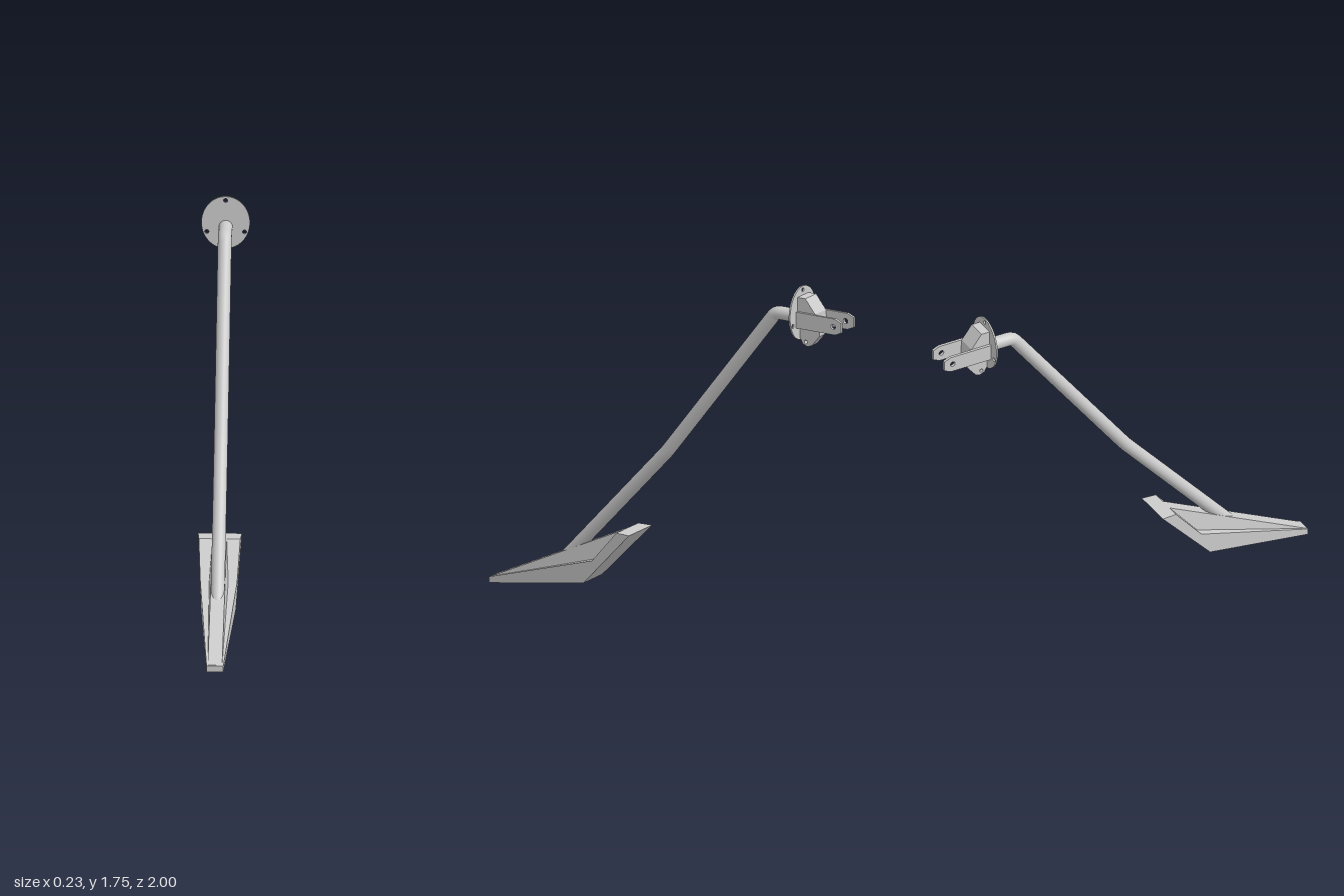
import * as THREE from 'three';

const material = new THREE.MeshStandardMaterial({ color: 0xcccccc, side: THREE.DoubleSide });

function part(name, geometry) {
  const mesh = new THREE.Mesh(geometry, material);
  mesh.name = name;
  return mesh;
}

function circleHole(x, y, r) {
  return new THREE.Path().absarc(x, y, r, 0, Math.PI * 2, true);
}

// Extrudes a [z, y] profile across x, centred on x = 0
function slab(profile, width, holes = []) {
  const shape = new THREE.Shape(profile.map(([z, y]) => new THREE.Vector2(z, y)));
  shape.holes.push(...holes);
  const geometry = new THREE.ExtrudeGeometry(shape, { depth: width, bevelEnabled: false, curveSegments: 8 });
  return geometry.translate(0, 0, -width / 2).rotateY(-Math.PI / 2);
}

// Slab whose half width follows a rule of z and y
function taperedSlab(profile, halfWidth) {
  const geometry = slab(profile, 2);
  const p = geometry.attributes.position;
  for (let i = 0; i < p.count; i++) {
    p.setX(i, Math.sign(p.getX(i)) * halfWidth(p.getZ(i), p.getY(i)));
  }
  geometry.computeVertexNormals();
  return geometry;
}

export function createModel() {
  const group = new THREE.Group();
  group.name = 'groundSpade';

  // Bent blade: sole towards the tip, back plate rising behind the knee
  group.add(part('blade', taperedSlab(
    [[1, 0], [1, 0.03], [0.39, 0.22], [0.245, 0.385], [0.17, 0.385], [0.44, 0.1]],
    (z) => 0.04 + 0.065 * (1 - z) / 0.83)));

  // Central rib filling the bend, flaring slightly towards its foot
  const ridge = (z) => 0.03 + (1 - z) * 0.47;
  group.add(part('bladeRib', taperedSlab(
    [[0.995, 0.02], [0.995, 0.032], [0.245, 0.385], [0.23, 0.37], [0.4, 0.19]],
    (z, y) => 0.034 + 0.12 * Math.max(0, ridge(z) - y))));

  // Bent round shank
  const v = (y, z) => new THREE.Vector3(0, y, z);
  const knots = [v(0.175, 0.6), v(0.805, 0.02), v(1.6, -0.595), v(1.6, -0.74)];
  const path = new THREE.CurvePath();
  let from = knots[0];
  for (let i = 1; i < knots.length - 1; i++) {
    const before = knots[i].clone().add(knots[i - 1].clone().sub(knots[i]).setLength(0.025));
    const after = knots[i].clone().add(knots[i + 1].clone().sub(knots[i]).setLength(0.025));
    path.add(new THREE.LineCurve3(from, before));
    path.add(new THREE.QuadraticBezierCurve3(before, knots[i], after));
    from = after;
  }
  path.add(new THREE.LineCurve3(from, knots[3]));
  group.add(part('shank', new THREE.TubeGeometry(path, 120, 0.033, 24)));

  // Oval mounting plate with three bolt holes
  const disc = new THREE.Shape().absellipse(0, 1.622, 0.116, 0.133, 0, Math.PI * 2);
  for (const [x, y] of [[0, 1.735], [-0.09, 1.575], [0.09, 1.575]]) {
    disc.holes.push(circleHole(x, y, 0.01));
  }
  group.add(part('mountingPlate', new THREE.ExtrudeGeometry(disc,
    { depth: 0.008, bevelEnabled: false, curveSegments: 32 }).translate(0, 0, -0.746)));

  // Fork arms with a pin hole near each end
  const armProfile = [[-0.74, 1.56], [-0.965, 1.56], [-1, 1.575], [-1, 1.625], [-0.965, 1.64], [-0.74, 1.64]];
  for (const side of [-1, 1]) {
    const arm = part(side > 0 ? 'leftForkArm' : 'rightForkArm',
      slab(armProfile, 0.014, [circleHole(-0.955, 1.6, 0.013)]));
    arm.position.x = side * 0.056;
    group.add(arm);
  }

  // Sloped block between the arms
  group.add(part('forkBlock', slab(
    [[-0.742, 1.56], [-0.85, 1.56], [-0.845, 1.64], [-0.79, 1.71], [-0.742, 1.71]], 0.098)));

  // Narrow lower tab with a small hole
  group.add(part('lowerTab', slab(
    [[-0.742, 1.562], [-0.742, 1.51], [-0.76, 1.475], [-0.785, 1.464], [-0.81, 1.472], [-0.855, 1.525], [-0.855, 1.562]],
    0.05, [circleHole(-0.778, 1.486, 0.009)])));

  return group;
}
